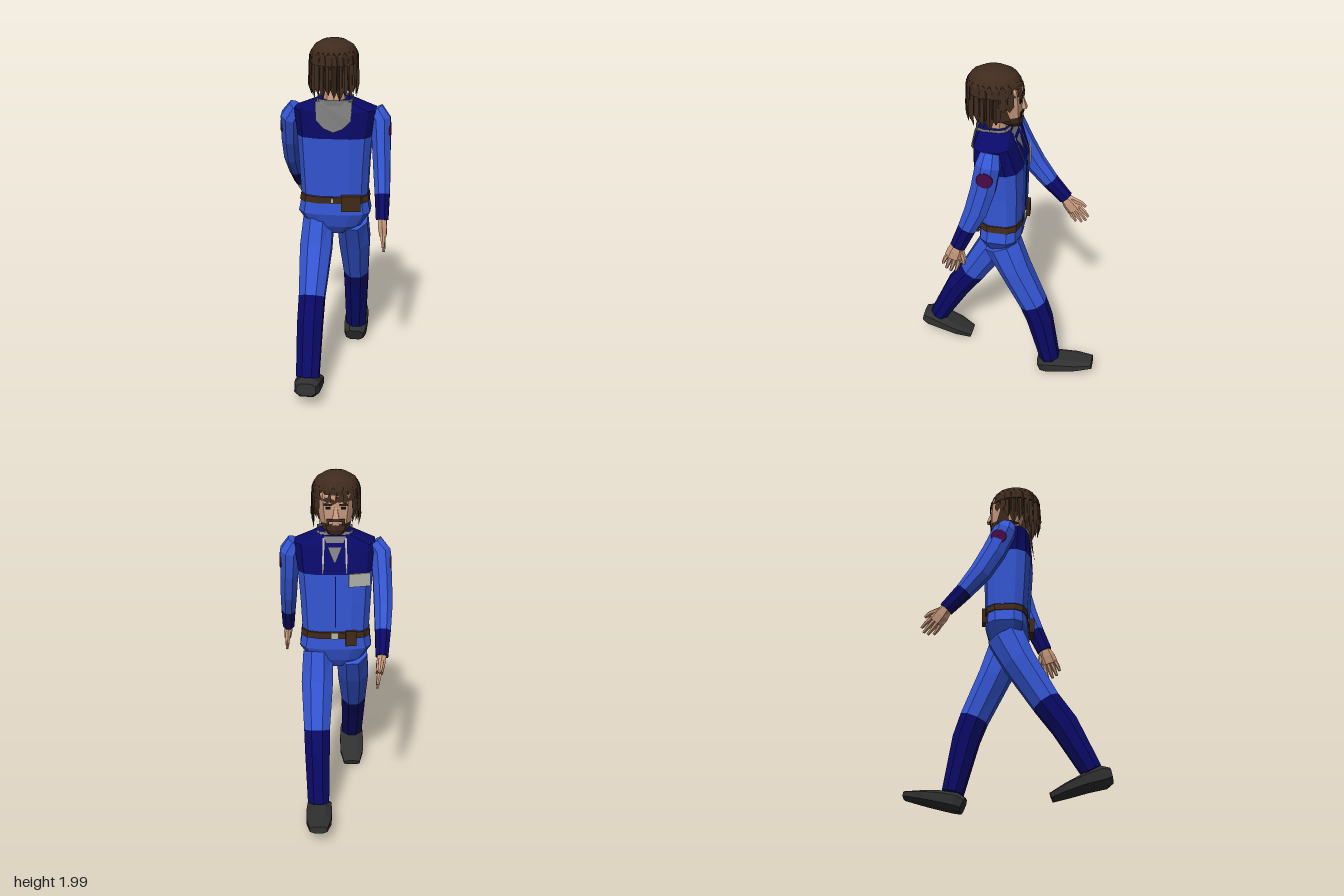
import * as THREE from 'three';

const mat = (name, color, side = THREE.FrontSide) => {
  const m = new THREE.MeshStandardMaterial({ color, side });
  m.name = name;
  return m;
};
const V = (x, y, z) => new THREE.Vector3(x, y, z);

export function createModel() {
  const model = new THREE.Group();
  model.name = 'walkingMan';
  const blue = mat('blueCloth', 0x3557d6);
  const navy = mat('navyCloth', 0x0a0a68);
  const skin = mat('skin', 0xcb9c80);
  const hair = mat('hairBrown', 0x3f2b1e, THREE.DoubleSide);
  const leather = mat('beltBrown', 0x422a18);
  const shoe = mat('shoeGrey', 0x303030);
  const grey = mat('hoodGrey', 0x7c7c7c, THREE.DoubleSide);
  const light = mat('lightGrey', 0xb4b4ae, THREE.DoubleSide);
  const plum = mat('patchPlum', 0x480a48);
  const black = mat('eyeBlack', 0x15100e, THREE.DoubleSide);

  const add = (name, geo, material, parent = model) => {
    const mesh = new THREE.Mesh(geo, material);
    mesh.name = name;
    parent.add(mesh);
    return mesh;
  };

  // Faceted skin over rings [x, y, z, rx, rz]; mats holds one material per segment.
  function loft(name, rings, mats, { n = 8, p = 1, axis = null, caps = true, parent = model } = {}) {
    const k = 1 / Math.pow(Math.cos(Math.PI / n), p);
    const c = rings.map(r => V(r[0], r[1], r[2]));
    const loops = rings.map((r, i) => {
      const t = axis ? axis.clone()
        : c[Math.min(i + 1, c.length - 1)].clone().sub(c[Math.max(i - 1, 0)]).normalize();
      const u = V(1, 0, 0).addScaledVector(t, -t.x).normalize();
      const v = t.clone().cross(u);
      return Array.from({ length: n }, (_, j) => {
        const a = (j + 0.5) / n * Math.PI * 2, s = Math.sin(a), q = Math.cos(a);
        return c[i].clone()
          .addScaledVector(u, r[3] * k * Math.sign(q) * Math.abs(q) ** p)
          .addScaledVector(v, r[4] * k * Math.sign(s) * Math.abs(s) ** p);
      });
    });
    const pts = [], geo = new THREE.BufferGeometry();
    const list = Array.isArray(mats) ? mats : [mats];
    const last = loops.length - 1;
    for (let i = 0; i < last; i++) {
      const start = pts.length;
      for (let j = 0; j < n; j++) {
        const h = (j + 1) % n, A = loops[i], B = loops[i + 1];
        pts.push(A[j], A[h], B[h], A[j], B[h], B[j]);
        if (caps && i === 0) pts.push(c[0], A[h], A[j]);
        if (caps && i === last - 1) pts.push(c[last], B[j], B[h]);
      }
      geo.addGroup(start, pts.length - start, Math.min(i, list.length - 1));
    }
    geo.setFromPoints(pts);
    geo.computeVertexNormals();
    return add(name, geo, list, parent);
  }

  // Flat polygon fan through 3D points.
  function plate(name, material, points, parent = model) {
    const pts = [];
    for (let i = 1; i < points.length - 1; i++)
      for (const q of [points[0], points[i], points[i + 1]]) pts.push(V(...q));
    const geo = new THREE.BufferGeometry().setFromPoints(pts);
    geo.computeVertexNormals();
    return add(name, geo, material, parent);
  }
  function box(name, material, size, pos, rotY = 0, parent = model) {
    const m = add(name, new THREE.BoxGeometry(...size), material, parent);
    m.position.set(...pos);
    m.rotation.y = rotY;
    return m;
  }

  // Torso, hips and belt
  const up = V(0, 1, 0), body = { n: 12, p: 0.6, axis: up };
  loft('jacket', [
    [-0.005, 1.13, 0.01, 0.187, 0.122], [-0.005, 1.3, 0.015, 0.195, 0.13],
    [-0.003, 1.47, 0.02, 0.205, 0.136], [0, 1.62, 0.042, 0.222, 0.108],
    [0, 1.67, 0.05, 0.1, 0.09]], [blue, blue, navy, navy], body);
  loft('hips', [
    [-0.005, 0.885, 0.01, 0.06, 0.06], [-0.005, 0.94, 0.012, 0.15, 0.095],
    [-0.005, 1.02, 0.012, 0.203, 0.12], [-0.005, 1.14, 0.01, 0.18, 0.113]], blue, body);
  loft('belt', [[-0.005, 1.088, 0.01, 0.196, 0.123], [-0.005, 1.125, 0.01, 0.19, 0.123]], leather, body);
  box('buckle', light, [0.04, 0.035, 0.008], [0, 1.107, -0.117]);
  box('backBuckle', light, [0.012, 0.025, 0.006], [-0.01, 1.107, 0.135]);
  box('backPouch', leather, [0.11, 0.09, 0.03], [0.095, 1.098, 0.142], 0.12);
  box('frontPouch', leather, [0.06, 0.09, 0.025], [-0.09, 1.095, -0.115], 0.1);

  // Hood, collar, neck opening, cords, zip and badge
  plate('hood', grey, [[-0.1, 1.675, 0.145], [-0.095, 1.575, 0.167], [-0.05, 1.53, 0.17],
    [0, 1.51, 0.172], [0.05, 1.53, 0.17], [0.095, 1.575, 0.167], [0.1, 1.675, 0.145]]);
  loft('collar', [[0, 1.64, 0.05, 0.1, 0.1], [0, 1.685, 0.06, 0.098, 0.09]], grey,
    { ...body, caps: false });
  plate('neckOpening', grey, [[-0.06, 1.665, -0.045], [0.06, 1.665, -0.045], [0, 1.53, -0.105]]);
  for (const s of [1, -1])
    plate('hoodCord', light, [[s * 0.055, 1.66, -0.052], [s * 0.065, 1.66, -0.052],
      [s * 0.07, 1.48, -0.124], [s * 0.06, 1.48, -0.124]]);
  box('zip', navy, [0.006, 0.3, 0.006], [-0.003, 1.31, -0.117]).rotation.x = -0.02;
  box('badge', light, [0.12, 0.075, 0.008], [-0.135, 1.44, -0.112], 0.22);

  // Legs
  loft('rightLeg', [
    [-0.1, 0.96, 0.01, 0.085, 0.105], [-0.108, 0.8, 0.085, 0.09, 0.092],
    [-0.115, 0.555, 0.23, 0.073, 0.078], [-0.115, 0.42, 0.325, 0.071, 0.075],
    [-0.112, 0.165, 0.46, 0.064, 0.055]], [blue, blue, navy, navy]);
  loft('leftLeg', [
    [0.095, 0.96, -0.005, 0.085, 0.105], [0.1, 0.8, -0.075, 0.09, 0.09],
    [0.102, 0.55, -0.19, 0.074, 0.079], [0.1, 0.43, -0.232, 0.071, 0.075],
    [0.095, 0.125, -0.3, 0.062, 0.058]], [blue, blue, navy, navy]);

  // Shoes, from heel to toe
  loft('rightShoe', [
    [-0.11, 0.143, 0.56, 0.055, 0.035], [-0.11, 0.135, 0.52, 0.07, 0.054],
    [-0.11, 0.108, 0.43, 0.075, 0.044], [-0.11, 0.07, 0.33, 0.073, 0.032],
    [-0.11, 0.035, 0.245, 0.05, 0.02]], shoe, { p: 0.7 });
  loft('leftShoe', [
    [0.09, 0.052, -0.24, 0.055, 0.042], [0.09, 0.068, -0.28, 0.07, 0.05],
    [0.09, 0.087, -0.37, 0.074, 0.046], [0.09, 0.102, -0.47, 0.071, 0.034],
    [0.09, 0.115, -0.565, 0.05, 0.02]], shoe, { p: 0.7 });

  // Arms with dark cuffs
  const sleeve = [blue, blue, blue, blue, navy];
  loft('leftArm', [
    [0.215, 1.615, 0.035, 0.045, 0.05], [0.247, 1.56, 0.04, 0.055, 0.065],
    [0.255, 1.42, 0.065, 0.05, 0.066], [0.263, 1.28, 0.105, 0.046, 0.062],
    [0.27, 1.165, 0.155, 0.041, 0.05], [0.275, 1.035, 0.21, 0.034, 0.043]], sleeve);
  loft('rightArm', [
    [-0.215, 1.615, 0.025, 0.045, 0.05], [-0.252, 1.56, 0.015, 0.055, 0.065],
    [-0.262, 1.42, -0.045, 0.052, 0.066], [-0.266, 1.29, -0.12, 0.05, 0.06],
    [-0.262, 1.18, -0.21, 0.043, 0.048], [-0.255, 1.075, -0.31, 0.034, 0.04]], sleeve);
  for (const [x, z] of [[0.301, 0.048], [-0.306, -0.012]]) {
    const patch = add('sleevePatch', new THREE.CylinderGeometry(0.044, 0.044, 0.009, 16), plum);
    patch.position.set(x, 1.5, z);
    patch.rotation.z = Math.PI / 2;
  }

  // Hands: palm, four fingers and a thumb hanging along -y
  for (const [name, pos, rx, rz] of [
    ['leftHand', [0.275, 1.045, 0.207], -0.33, 0.08], ['rightHand', [-0.255, 1.08, -0.305], 0.72, 0.15]]) {
    const hand = new THREE.Group();
    hand.name = name;
    hand.position.set(...pos);
    hand.rotation.set(rx, 0, rz);
    model.add(hand);
    const opt = { n: 6, parent: hand };
    loft('palm', [[0, 0, 0, 0.024, 0.03], [0, -0.05, 0, 0.024, 0.042], [0, -0.1, 0, 0.019, 0.043]], skin, opt);
    [0.085, 0.098, 0.092, 0.07].forEach((len, i) => {
      const z = -0.033 + i * 0.022;
      loft('finger', [[0, -0.09, z, 0.012, 0.012], [0, -0.09 - len * 0.5, z * 1.2, 0.011, 0.011],
        [0, -0.09 - len, z * 1.25, 0.007, 0.007]], skin, opt);
    });
    loft('thumb', [[0, -0.03, -0.025, 0.015, 0.016], [0, -0.08, -0.058, 0.013, 0.013],
      [0, -0.115, -0.068, 0.008, 0.008]], skin, opt);
  }

  // Neck, head and beard
  const round = { n: 10, axis: up };
  loft('neck', [[-0.005, 1.62, 0.05, 0.06, 0.06], [-0.005, 1.76, 0.03, 0.056, 0.058]], skin, round);
  loft('head', [
    [-0.005, 1.685, -0.045, 0.04, 0.04], [-0.005, 1.715, -0.022, 0.07, 0.07],
    [-0.005, 1.748, 0, 0.083, 0.09], [-0.005, 1.82, 0.01, 0.096, 0.1],
    [-0.005, 1.9, 0.025, 0.105, 0.11], [-0.005, 1.95, 0.04, 0.09, 0.09]],
  [hair, hair, skin, skin, skin], { ...round, p: 0.85 });
  loft('nose', [[-0.005, 1.782, -0.092, 0.018, 0.022], [-0.005, 1.838, -0.088, 0.008, 0.008]], skin,
    { n: 4, axis: up });
  const face = (name, m, x, y, w, h, z, turn = 0) => box(name, m, [w, h, 0.006], [x - 0.005, y, z], turn);
  face('moustache', hair, 0, 1.77, 0.07, 0.014, -0.094);
  face('mouth', skin, 0, 1.748, 0.036, 0.01, -0.091);
  for (const s of [1, -1]) {
    face('eye', black, s * 0.04, 1.834, 0.026, 0.011, -0.089, -s * 0.12);
    face('eyebrow', hair, s * 0.042, 1.853, 0.042, 0.01, -0.089, -s * 0.12);
    face('moustacheEnd', hair, s * 0.042, 1.757, 0.014, 0.036, -0.09, -s * 0.15);
    plate('sideburn', hair, [[s * 0.1 - 0.005, 1.83, 0.02], [s * 0.1 - 0.005, 1.83, -0.02],
      [s * 0.088 - 0.005, 1.74, -0.045], [s * 0.088 - 0.005, 1.72, 0.03]]);
  }

  // Hair: cap plus overlapping pointed locks, short over the face
  const cx = -0.007, cz = 0.06;
  loft('hairCap', [
    [cx, 1.875, cz, 0.131, 0.148], [cx, 1.925, cz, 0.126, 0.142], [cx, 1.965, cz, 0.102, 0.116],
    [cx, 1.99, cz, 0.06, 0.07], [cx, 2, cz, 0.02, 0.02]], hair, { n: 14, axis: up });
  const count = 26;
  for (let i = 0; i < count; i++) {
    const mid = i / count * Math.PI * 2, half = Math.PI / count * 1.35;
    const front = -Math.sin(mid);
    const wobble = (i * 7 % 5) / 5;
    const tip = front > 0.75 ? 1.852 + wobble * 0.02
      : front > 0.45 ? 1.79 + wobble * 0.02
        : 1.685 + wobble * 0.04 + (front > 0 ? 0.035 : 0);
    const at = (a, y, r) => [cx + Math.cos(a) * 0.136 * r, y, cz + Math.sin(a) * 0.154 * r];
    const out = 1 + (i % 2) * 0.03, low = tip + (1.9 - tip) * 0.3;
    plate('hairLock', hair, [at(mid, 1.945, 0.88), at(mid - half, 1.91, 0.98), at(mid - half, low, out),
      at(mid, tip, front > 0.45 ? 1 : 0.9), at(mid + half, low, out - 0.02), at(mid + half, 1.91, 0.96)]);
  }
  return model;
}
